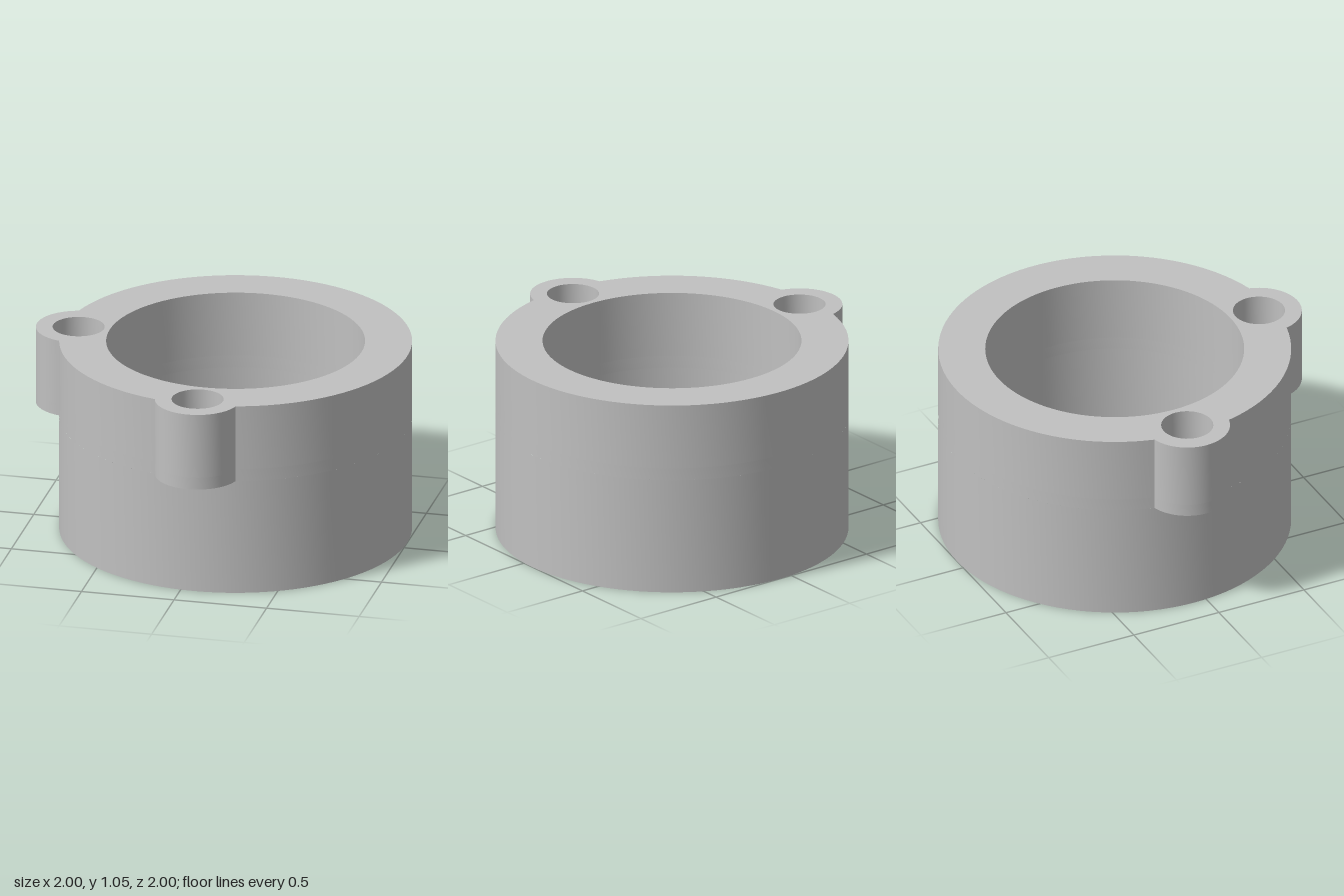
import * as THREE from 'three';
import { toCreasedNormals } from 'three/addons/utils/BufferGeometryUtils.js';

const CX = 0.073, CZ = -0.073;               // ring axis
const R = 0.927, BORE = 0.68, HOLE = 0.473;  // ring radii
const LUG_D = 0.848, LUG_R = 0.225, SCREW_R = 0.137;
const TOP = 1.055, LUG_Y = 0.633, POCKET_Y = 0.7, LEDGE_Y = 0.165;
const LUG_ANGLES = [Math.PI, Math.PI * 1.5]; // right side and front
const SEG = 96;

// Points along an arc, end point left out
function arc(x, y, r, from, to, n) {
  return Array.from({ length: n }, (_, i) => {
    const a = from + (to - from) * i / n;
    return new THREE.Vector2(x + r * Math.cos(a), y + r * Math.sin(a));
  });
}

const circle = (x, y, r, n) => new THREE.Path(arc(x, y, r, 0, Math.PI * 2, n));

// Ring outline joined with the two round lugs
function outline() {
  const a = Math.acos((R * R + LUG_D * LUG_D - LUG_R * LUG_R) / (2 * R * LUG_D));
  const b = Math.atan2(R * Math.sin(a), R * Math.cos(a) - LUG_D);
  const points = [];
  let from = -Math.PI / 2 + a;
  for (const t of LUG_ANGLES) {
    const n = Math.ceil((t - a - from) / (Math.PI * 2) * SEG);
    points.push(...arc(0, 0, R, from, t - a, n));
    points.push(...arc(LUG_D * Math.cos(t), LUG_D * Math.sin(t), LUG_R, t - b, t + b, 32));
    from = t + a;
  }
  return points;
}

// Slab of the lugged outline between two heights
function slab(y0, y1, withPockets) {
  const shape = new THREE.Shape(outline());
  shape.holes.push(circle(0, 0, BORE, SEG));
  if (withPockets) {
    for (const t of LUG_ANGLES) {
      shape.holes.push(circle(LUG_D * Math.cos(t), LUG_D * Math.sin(t), SCREW_R, 48));
    }
  }
  const geo = new THREE.ExtrudeGeometry(shape, { depth: y1 - y0, bevelEnabled: false });
  geo.rotateX(-Math.PI / 2).translate(0, y0, 0);
  return toCreasedNormals(geo, 0.4);
}

export function createModel() {
  const group = new THREE.Group();
  group.name = 'luggedCollar';
  const metal = new THREE.MeshStandardMaterial({ color: 0xc0c0c0 });
  metal.name = 'grey metal';

  const add = (name, geo) => {
    const mesh = new THREE.Mesh(geo, metal);
    mesh.name = name;
    mesh.position.set(CX, 0, CZ);
    group.add(mesh);
  };

  // Lower body: wide bore, ledge, narrow hole, base and outer wall
  const profile = [
    [BORE, LUG_Y], [BORE, LEDGE_Y], [HOLE, LEDGE_Y], [HOLE, 0], [R, 0], [R, LUG_Y],
  ].map(([r, y]) => new THREE.Vector2(r, y));
  add('lowerBody', toCreasedNormals(new THREE.LatheGeometry(profile, SEG), 0.4));

  // Lug floor, then the upper rim with blind screw pockets
  add('lugFloor', slab(LUG_Y, POCKET_Y, false));
  add('upperRim', slab(POCKET_Y, TOP, true));
  return group;
}
